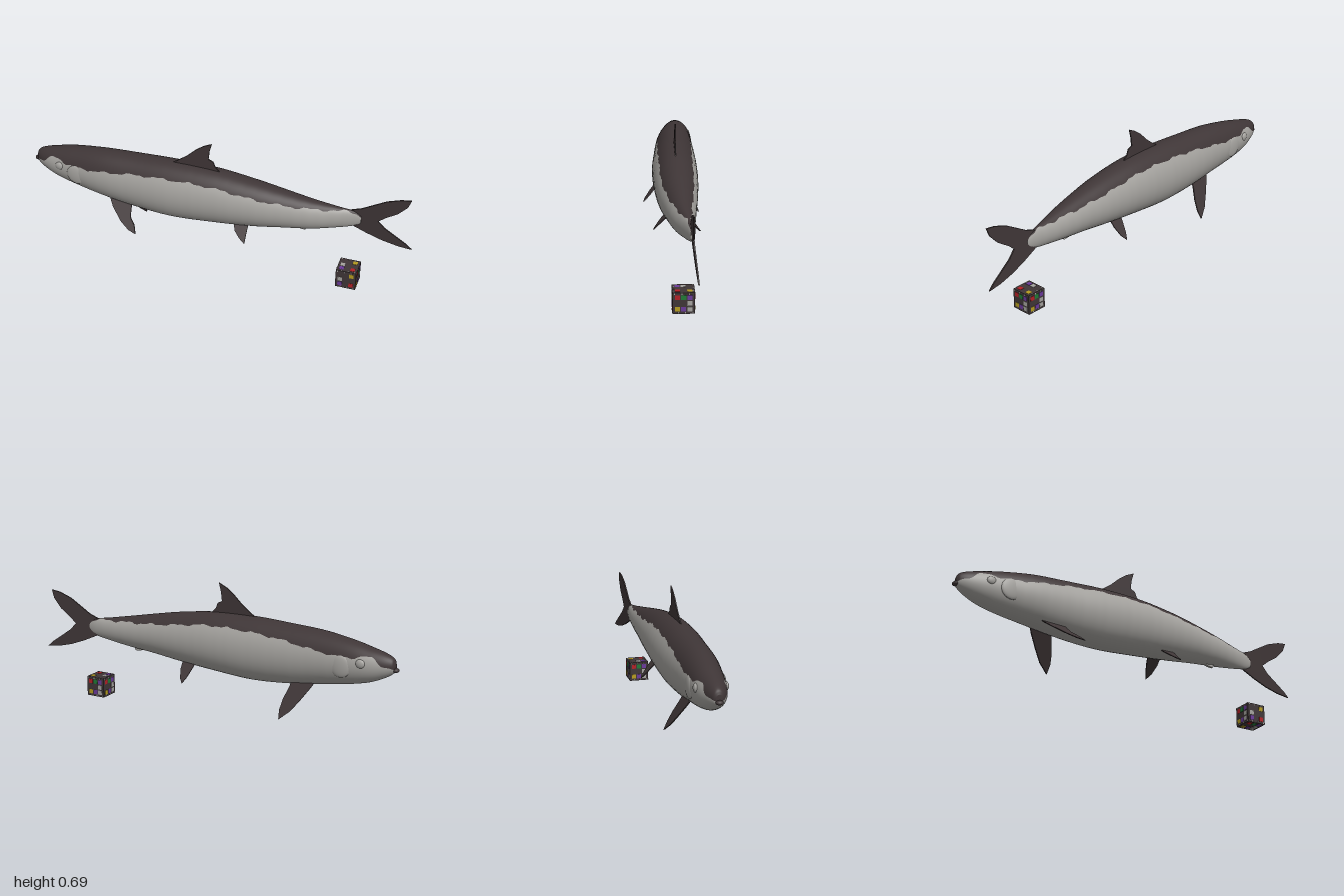
import * as THREE from 'three';

const mat = (name, color, side = THREE.FrontSide) => {
  const m = new THREE.MeshStandardMaterial({ color, side });
  m.name = name;
  return m;
};

// Body stations: x, top y, bottom y, centre z, half width, colour boundary y
const STATIONS = [
  [-0.982, 0.425, 0.385, -0.035, 0.015, 0.40],
  [-0.97, 0.447, 0.37, -0.035, 0.03, 0.405],
  [-0.93, 0.465, 0.345, -0.034, 0.05, 0.415],
  [-0.86, 0.483, 0.315, -0.032, 0.07, 0.452],
  [-0.76, 0.505, 0.29, -0.028, 0.085, 0.437],
  [-0.6, 0.527, 0.262, -0.018, 0.1, 0.45],
  [-0.42, 0.537, 0.237, -0.014, 0.11, 0.475],
  [-0.22, 0.545, 0.225, -0.01, 0.117, 0.49],
  [0, 0.54, 0.24, -0.01, 0.113, 0.49],
  [0.2, 0.515, 0.26, -0.012, 0.1, 0.465],
  [0.35, 0.488, 0.28, -0.018, 0.082, 0.447],
  [0.5, 0.459, 0.297, -0.028, 0.06, 0.435],
  [0.62, 0.438, 0.317, -0.043, 0.035, 0.428],
  [0.7, 0.425, 0.335, -0.054, 0.017, 0.42],
  [0.74, 0.40, 0.355, -0.058, 0.006, 0.395],
];

// Lofted body: each ring starts at the colour boundary, back first, then flanks and belly
function bodyGeometry() {
  const N = 112, BACK = 18, BELLY = 30, K = BACK + BELLY;
  const spline = (a, b) => new THREE.CatmullRomCurve3(
    STATIONS.map((s) => new THREE.Vector3(s[0], s[a], s[b])), false, 'catmullrom');
  const heights = spline(1, 2), widths = spline(3, 4), edges = spline(5, 0);
  const pos = [], back = [], belly = [];
  for (let i = 0; i <= N; i++) {
    const t = i / N;
    const { x, y: top, z: bottom } = heights.getPoint(t);
    const { y: zc, z: w } = widths.getPoint(t);
    const wobble = 0.004 * Math.sin(x * 41) + 0.003 * Math.sin(x * 97);
    const edge = edges.getPoint(t).y + wobble;
    const yc = (top + bottom) / 2, h = (top - bottom) / 2;
    const a0 = Math.asin(THREE.MathUtils.clamp((edge - yc) / h, -0.9, 0.97));
    for (let k = 0; k < K; k++) {
      const a = k <= BACK
        ? a0 + (Math.PI - 2 * a0) * k / BACK
        : Math.PI - a0 + (Math.PI + 2 * a0) * (k - BACK) / BELLY;
      pos.push(x, yc + h * Math.sin(a), zc + w * Math.cos(a));
    }
  }
  for (let i = 0; i < N; i++) {
    for (let k = 0; k < K; k++) {
      const a = i * K + k, b = i * K + (k + 1) % K;
      (k < BACK ? back : belly).push(a, a + K, b, b, a + K, b + K);
    }
  }
  // Snout and tail root caps
  for (let k = 1; k < K - 1; k++) {
    back.push(0, k, k + 1);
    belly.push(N * K, N * K + k + 1, N * K + k);
  }
  const g = new THREE.BufferGeometry();
  g.setAttribute('position', new THREE.Float32BufferAttribute(pos, 3));
  g.setIndex([...back, ...belly]);
  g.addGroup(0, back.length, 0);
  g.addGroup(back.length, belly.length, 1);
  g.computeVertexNormals();
  return g;
}

// Thin fin outlined in x and y, slanted sideways by zAt(x, y)
function finGeometry(outline, zAt, depth = 0.007) {
  const shape = new THREE.Shape(outline.map(([x, y]) => new THREE.Vector2(x, y)));
  const g = new THREE.ExtrudeGeometry(shape, { depth, bevelEnabled: false });
  const p = g.attributes.position;
  for (let i = 0; i < p.count; i++) {
    p.setZ(i, p.getZ(i) - depth / 2 + zAt(p.getX(i), p.getY(i)));
  }
  g.computeVertexNormals();
  return g;
}

export function createModel() {
  const model = new THREE.Group();
  const dark = mat('darkBack', 0x3f3637, THREE.DoubleSide);
  const silver = mat('silverFlank', 0xa5a39f);
  const paints = {
    r: mat('red', 0xb32026), g: mat('green', 0x1f7a35),
    p: mat('purple', 0x6a3a9a), y: mat('yellow', 0xb59c20), w: silver,
  };
  const add = (name, geometry, material, parent = model) => {
    const m = new THREE.Mesh(geometry, material);
    m.name = name;
    parent.add(m);
    return m;
  };

  add('body', bodyGeometry(), [dark, silver]);

  // Lower lip, eyes and gill covers
  const ball = new THREE.SphereGeometry(1, 20, 14);
  const lip = add('lowerLip', ball, dark);
  lip.position.set(-0.984, 0.39, -0.035);
  lip.scale.set(0.016, 0.011, 0.018);
  for (const [side, s] of [['left', 1], ['right', -1]]) {
    const eye = add(side + 'Eye', ball, silver);
    eye.position.set(-0.83, 0.415, -0.031 + s * 0.07);
    eye.scale.set(0.024, 0.022, 0.012);
    const gill = add(side + 'GillCover', ball, silver);
    gill.position.set(-0.73, 0.39, -0.026 + s * 0.078);
    gill.scale.set(0.055, 0.055, 0.014);
  }

  // Fins on the centre line
  add('tailFin', finGeometry([
    [0.66, 0.36], [0.68, 0.425], [0.74, 0.447], [0.8, 0.482], [0.86, 0.517], [0.93, 0.541],
    [0.98, 0.548], [0.965, 0.505], [0.92, 0.455], [0.86, 0.415], [0.825, 0.385], [0.86, 0.347],
    [0.92, 0.305], [0.97, 0.27], [1.0, 0.242], [0.93, 0.25], [0.85, 0.27], [0.77, 0.3],
    [0.7, 0.332],
  ], (x, y) => -0.061 + (y - 0.4) * 0.07 - (x - 0.8) * 0.03), dark);
  add('dorsalFin', finGeometry([
    [-0.25, 0.53], [-0.2, 0.557], [-0.15, 0.595], [-0.1, 0.643], [-0.06, 0.672], [-0.018, 0.692],
    [-0.03, 0.645], [-0.035, 0.6], [-0.01, 0.588], [0, 0.56], [0.03, 0.53],
  ], () => -0.008, 0.006), dark);
  add('analFin', finGeometry([
    [0.4, 0.3], [0.44, 0.282], [0.47, 0.279], [0.48, 0.3],
  ], () => -0.024, 0.014), silver);

  // Paired fins, swept differently on each side
  add('leftPectoralFin', finGeometry([
    [-0.57, 0.29], [-0.53, 0.245], [-0.47, 0.2], [-0.42, 0.175], [-0.378, 0.165],
    [-0.395, 0.195], [-0.425, 0.22], [-0.44, 0.29],
  ], (x, y) => 0.05 + (0.26 - y) * 1.05), dark);
  add('rightPectoralFin', finGeometry([
    [-0.59, 0.3], [-0.56, 0.245], [-0.52, 0.185], [-0.48, 0.13], [-0.43, 0.088],
    [-0.423, 0.13], [-0.43, 0.18], [-0.45, 0.24], [-0.46, 0.3],
  ], (x, y) => -0.06 - (0.26 - y) * 0.5), dark);
  add('leftPelvicFin', finGeometry([
    [0.1, 0.3], [0.13, 0.25], [0.16, 0.228], [0.192, 0.212], [0.19, 0.245], [0.19, 0.3],
  ], (x, y) => 0.04 + (0.275 - y) * 1.05), dark);
  add('rightPelvicFin', finGeometry([
    [0.09, 0.3], [0.1, 0.25], [0.115, 0.205], [0.13, 0.178], [0.15, 0.2], [0.165, 0.24],
    [0.17, 0.3],
  ], (x, y) => -0.05 - (0.275 - y) * 0.8), dark);

  // Colour reference cube with painted squares on each face
  const size = 0.104, cell = 0.0285;
  const cube = new THREE.Group();
  cube.name = 'referenceCube';
  cube.position.set(0.703, 0.054, -0.021);
  model.add(cube);
  add('cubeCore', new THREE.BoxGeometry(size, size, size), dark, cube);
  const square = new THREE.BoxGeometry(0.023, 0.023, 0.002);
  const side = ['rgp', '..w', 'ypw'], front = ['..y', 'w..', 'p.r'];
  const faces = [
    [0, 0, front], [0, Math.PI / 2, side], [0, Math.PI, side], [0, -Math.PI / 2, side],
    [-Math.PI / 2, 0, front], [Math.PI / 2, 0, side],
  ];
  for (const [rx, ry, pattern] of faces) {
    const face = new THREE.Group();
    face.name = 'cubeFace';
    face.rotation.set(rx, ry, 0);
    cube.add(face);
    pattern.forEach((row, j) => [...row].forEach((c, i) => {
      if (!paints[c]) return;
      add('colourSquare', square, paints[c], face)
        .position.set((i - 1) * cell, (1 - j) * cell, size / 2 + 0.0005);
    }));
    // Pale speckled edge marks
    for (let i = 0; i < 6; i++) {
      const tick = add('edgeMark', square, silver, face);
      tick.scale.set(0.2, 0.35, 1);
      tick.position.set(-0.042 + i * 0.017, i % 2 ? -0.046 : 0.046, size / 2 + 0.0005);
    }
  }
  return model;
}
